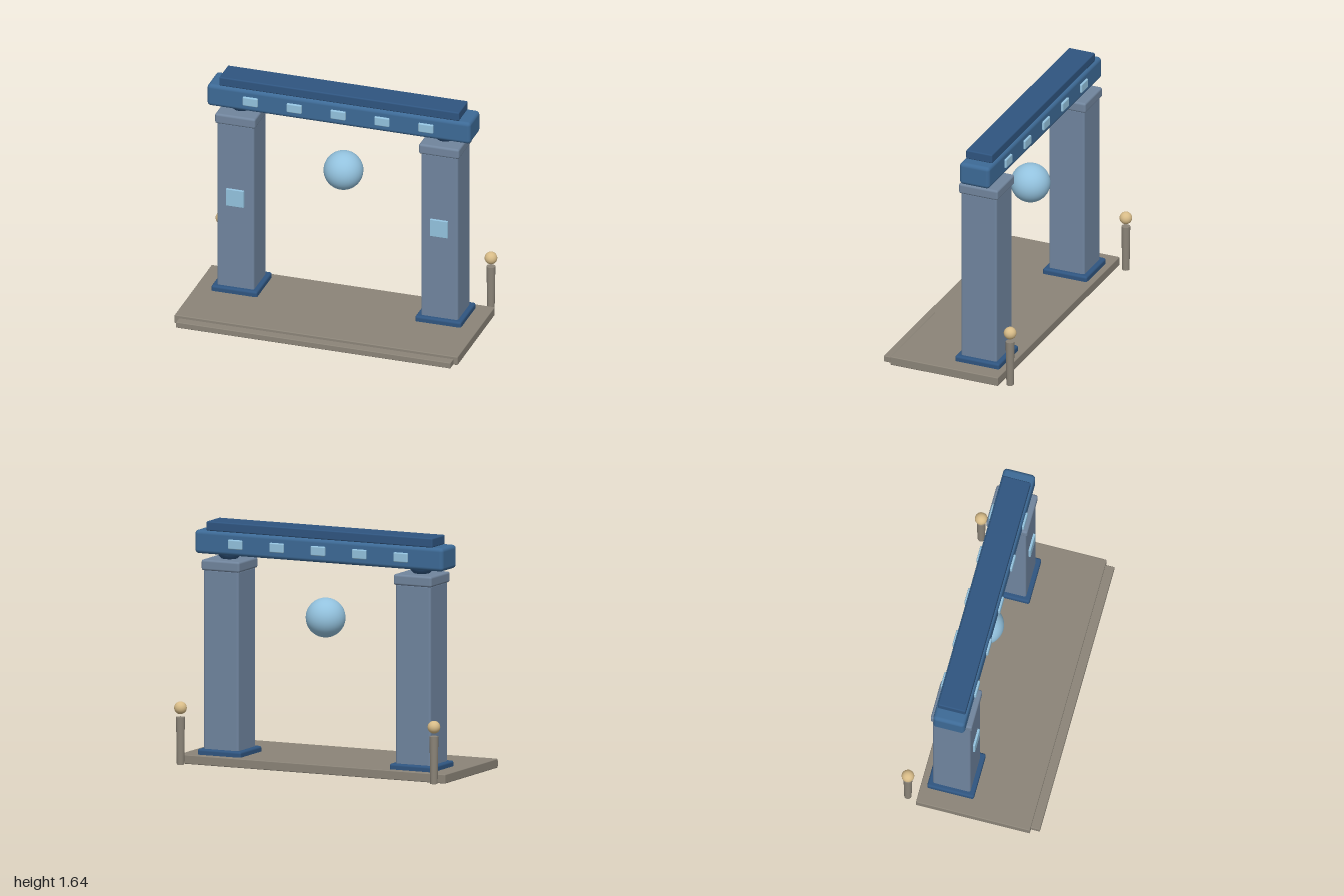
import * as THREE from 'three';
import { RoundedBoxGeometry } from 'three/addons/geometries/RoundedBoxGeometry.js';

const mat = (color) => new THREE.MeshStandardMaterial({ color });

export function createModel() {
  const model = new THREE.Group();
  const stone = mat(0x8b8478), slate = mat(0x70859f), capital = mat(0x71859d);
  const navy = mat(0x2f5580), blue = mat(0x3d6a96), glow = mat(0x93c2de), gold = mat(0xd8bc88);
  const archZ = -0.165;

  const add = (name, geometry, material, x, y, z) => {
    const mesh = new THREE.Mesh(geometry, material);
    mesh.name = name;
    mesh.position.set(x, y, z);
    model.add(mesh);
    return mesh;
  };
  // Rounded box given by its centre in x and z and its bottom and top heights
  const block = (name, material, w, d, y0, y1, x, z, r) =>
    add(name, new RoundedBoxGeometry(w, y1 - y0, d, 3, r), material, x, (y0 + y1) / 2, z);

  // Platform with a low front step
  block('platform', stone, 2, 0.79, 0, 0.062, 0, 0.023, 0.006);
  block('frontStep', stone, 1.94, 0.12, 0, 0.042, 0, 0.42, 0.005);

  for (const side of [-1, 1]) {
    const label = side > 0 ? 'left' : 'right';
    const x = side * 0.72;
    // Pillar with plinth, capital, bearing ball and front inlay
    block(label + 'Plinth', navy, 0.325, 0.325, 0.004, 0.1, x, archZ, 0.015);
    block(label + 'Pillar', slate, 0.262, 0.262, 0.08, 1.32, x, archZ, 0.015);
    block(label + 'Capital', capital, 0.285, 0.287, 1.31, 1.383, x, archZ, 0.015);
    add(label + 'Bearing', new THREE.SphereGeometry(0.09, 24, 16), navy, x, 1.455, archZ);
    block(label + 'PillarInlay', glow, 0.126, 0.03, 0.707, 0.833, x, -0.034, 0.004);

    // Lamp post behind the platform with a floating ball
    add(label + 'LampPost', new THREE.CylinderGeometry(0.03, 0.025, 0.322, 16), stone, side * 0.95, 0.167, -0.44);
    add(label + 'LampBall', new THREE.SphereGeometry(0.043, 20, 14), gold, side * 0.95, 0.39, -0.44);
  }

  // Lintel and its cap
  block('lintel', blue, 1.86, 0.22, 1.416, 1.575, 0, archZ, 0.026);
  block('lintelCap', navy, 1.695, 0.192, 1.573, 1.637, 0, archZ, 0.009);

  // Small inlays along both faces of the lintel
  for (let i = -2; i <= 2; i++)
    for (const face of [-1, 1])
      block('lintelInlay', glow, 0.106, 0.03, 1.463, 1.528, i * 0.31, archZ + face * 0.109, 0.008);

  // Floating orb between the pillars
  add('orb', new THREE.SphereGeometry(0.134, 32, 24), glow, 0, 1.03, archZ);

  return model;
}
